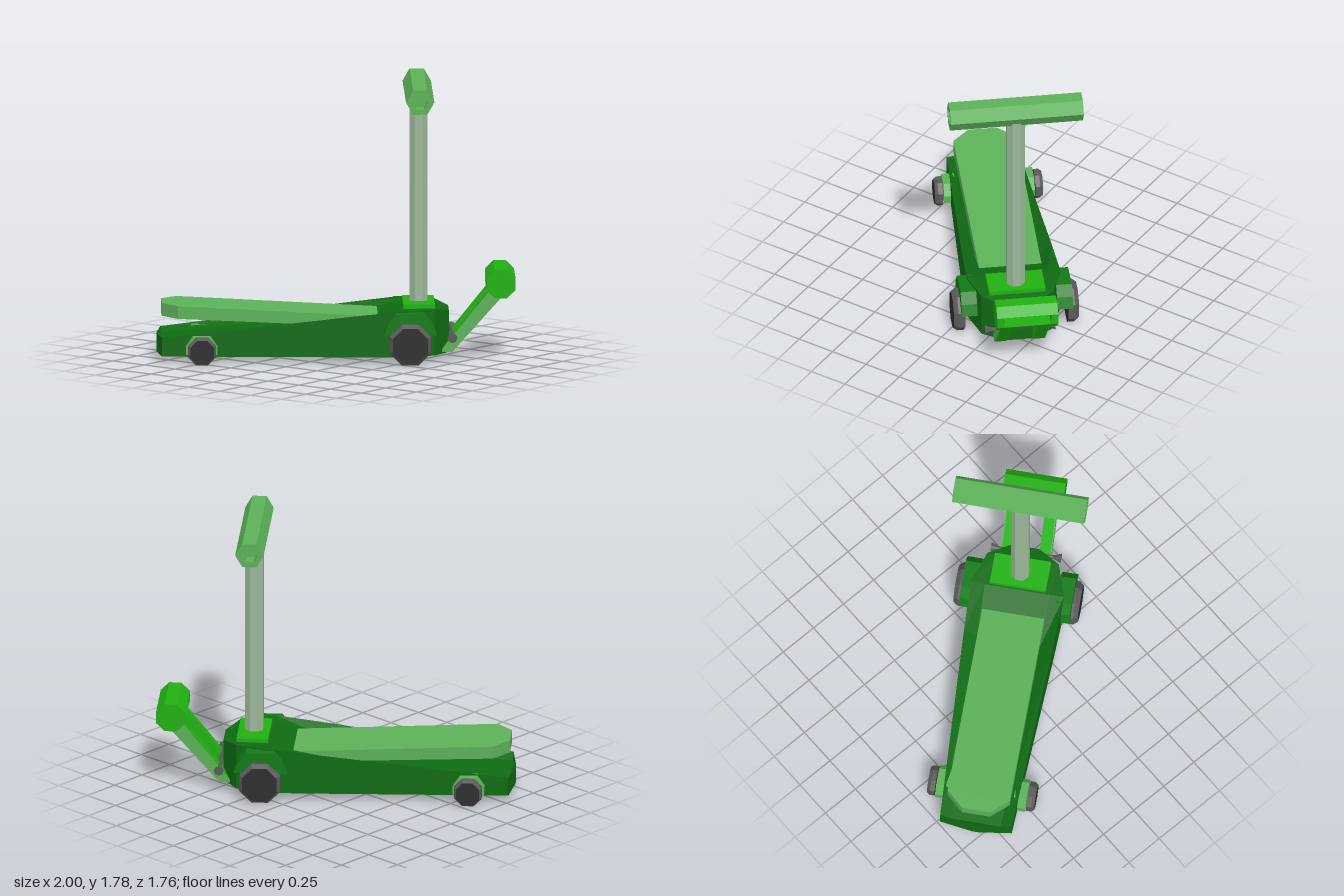
import * as THREE from 'three';

function material(name, color, double = false) {
  const m = new THREE.MeshStandardMaterial({ color, flatShading: true });
  m.name = name;
  if (double) m.side = THREE.DoubleSide;
  return m;
}

export function createModel() {
  const hullGreen = material('dark green', 0x0f6b13, true);
  const fenderGreen = material('fender green', 0x117a16);
  const bright = material('bright green', 0x21b011);
  const light = material('light green', 0x5cb158);
  const pale = material('pale grey green', 0x9cb899);
  const rubber = material('black rubber', 0x2e2e2e);
  const grey = material('grey metal', 0x5a5a5a);

  const root = new THREE.Group();
  root.name = 'jack';
  const body = new THREE.Group();
  body.name = 'body';
  body.rotation.y = 0.693; // the long axis lies diagonally
  root.add(body);

  const add = (name, geo, mat, x = 0, y = 0, z = 0, parent = body) => {
    const m = new THREE.Mesh(geo, mat);
    m.name = name;
    m.position.set(x, y, z);
    parent.add(m);
    return m;
  };

  // Flat side profile pulled out along z, centred on z = 0
  const slab = (pts, depth) => {
    const shape = new THREE.Shape(pts.map(([x, y]) => new THREE.Vector2(x, y)));
    return new THREE.ExtrudeGeometry(shape, { depth, bevelEnabled: false }).translate(0, 0, -depth / 2);
  };

  // Loft of open or closed sections; each section is a list of [x, y, z]
  const loft = (sections, capStart, capEnd) => {
    const v = [];
    const tri = (a, b, c) => v.push(...a, ...b, ...c);
    for (let i = 0; i < sections.length - 1; i++) {
      const s = sections[i], t = sections[i + 1];
      for (let j = 0; j < s.length - 1; j++) {
        tri(s[j], s[j + 1], t[j + 1]);
        tri(s[j], t[j + 1], t[j]);
      }
    }
    const cap = (s, flip) => {
      for (let j = 1; j < s.length - 1; j++) flip ? tri(s[0], s[j + 1], s[j]) : tri(s[0], s[j], s[j + 1]);
    };
    if (capStart) cap(sections[0], true);
    if (capEnd) cap(sections[sections.length - 1], false);
    const g = new THREE.BufferGeometry();
    g.setAttribute('position', new THREE.Float32BufferAttribute(v, 3));
    g.computeVertexNormals();
    return g;
  };

  // Hull: open underneath, with a sunken deck. Station: x, half width, rim height, deck height
  const hull = [
    [-1.13, 0.02, 0.165, 0.16], [-1.1, 0.23, 0.17, 0.14], [0.1, 0.288, 0.31, 0.25],
    [0.42, 0.30, 0.345, 0.34], [0.63, 0.23, 0.345, 0.345], [0.72, 0.09, 0.32, 0.32],
  ].map(([x, w, rim, deck]) => [
    [x, 0.05, -w], [x, rim, -w], [x, deck, -w * 0.7],
    [x, deck, w * 0.7], [x, rim, w], [x, 0.05, w],
  ]);
  add('hull', loft(hull, true, true), hullGreen);

  // Pad: sloping slab with a tapered front. Station: x, half width, bottom, top
  const pad = [
    [-1.1, 0.09, 0.29, 0.372], [-1.0, 0.2, 0.287, 0.368], [0.32, 0.2, 0.225, 0.295],
  ].map(([x, w, lo, hi]) => [[x, lo, -w], [x, hi, -w], [x, hi, w], [x, lo, w], [x, lo, -w]]);
  add('pad', loft(pad, true, true), light);

  // Post, base plate and cross handle
  add('basePlate', new THREE.BoxGeometry(0.2, 0.05, 0.36), bright, 0.53, 0.345, 0);
  add('post', new THREE.CylinderGeometry(0.062, 0.062, 1.33, 8), pale, 0.53, 1.0, 0).rotation.y = Math.PI / 8;
  const profile = [
    [0, -0.33], [0.052, -0.33], [0.052, -0.425], [0.09, -0.425],
    [0.09, 0.425], [0.052, 0.425], [0.052, 0.33], [0, 0.33],
  ].map(([r, y]) => new THREE.Vector2(r, y));
  const bar = new THREE.LatheGeometry(profile, 6);
  bar.rotateY(Math.PI / 2).rotateX(Math.PI / 2);
  add('handle', bar, light, 0.53, 1.707, 0);

  // Wheel: eight sides, chamfered towards the outside
  const wheel = (name, r, w, x, z, side) => {
    const g = new THREE.Group();
    g.name = name;
    g.position.set(x, r, z * side);
    g.rotation.x = side * Math.PI / 2;
    body.add(g);
    const mats = [grey, rubber, rubber];
    const tread = add('tread', new THREE.CylinderGeometry(r, r, w * 0.6, 8), mats, 0, -w * 0.2, 0, g);
    const rim = add('chamfer', new THREE.CylinderGeometry(r * 0.85, r, w * 0.4, 8), mats, 0, w * 0.3, 0, g);
    tread.rotation.y = rim.rotation.y = Math.PI / 8;
  };

  const fenderShape = [[-0.17, 0.2], [0.17, 0.2], [0.14, 0.27], [0.09, 0.335], [-0.09, 0.335], [-0.14, 0.27]];
  const bracketShape = [[-0.1, 0.07], [0.1, 0.07], [0.1, 0.12], [0.055, 0.185], [-0.055, 0.185], [-0.1, 0.12]];
  for (const side of [1, -1]) {
    wheel('rearWheel', 0.14, 0.07, 0.469, 0.365, side);
    wheel('frontWheel', 0.095, 0.05, -0.85, 0.32, side);
    add('rearFender', slab(fenderShape, 0.1), fenderGreen, 0.469, 0, side * 0.305);
    add('frontBracket', slab(bracketShape, 0.08), light, -0.85, 0, side * 0.25);
    for (const [x, y] of [[0.469, 0.14], [-0.85, 0.095]]) {
      add('axleStub', new THREE.CylinderGeometry(0.025, 0.025, 0.12, 8), grey, x, y, side * 0.28).rotation.x = Math.PI / 2;
    }

    // Lifting arm with a pale outer face
    const armShape = [[0.66, 0.06], [0.74, 0.06], [1.07, 0.43], [0.99, 0.47]];
    add('arm', slab(armShape, 0.07), bright, 0, 0, side * 0.12);
    add('armFace', slab(armShape, 0.006), light, 0, 0, side * 0.158);

    // End of the lifting head
    const end = [];
    for (let i = 0; i < 8; i++) {
      const a = (i + 0.5) * Math.PI / 4;
      end.push([0.1 * Math.cos(a), 0.098 * Math.sin(a)]);
    }
    add('headEnd', slab(end, 0.045), bright, 1.048, 0.5, side * 0.1725);

    // Upper and lower rails of the lifting head
    const rail = [[-0.0924, 0.035], [0.0924, 0.035], [0.0924, 0.0375], [0.0383, 0.0905], [-0.0383, 0.0905], [-0.0924, 0.0375]]
      .map(([x, y]) => [x, y * side]);
    add('headRail', slab(rail, 0.3), bright, 1.048, 0.5, 0);

    // Flared end of the pivot pin
    const knob = add('pinKnob', new THREE.CylinderGeometry(0.032, 0.012, 0.05, 8), grey, 0.74, 0.16, side * 0.2);
    knob.rotation.x = side * Math.PI / 2;
  }
  add('pivotPin', new THREE.CylinderGeometry(0.013, 0.013, 0.4, 8), grey, 0.74, 0.16, 0).rotation.x = Math.PI / 2;

  return root;
}
